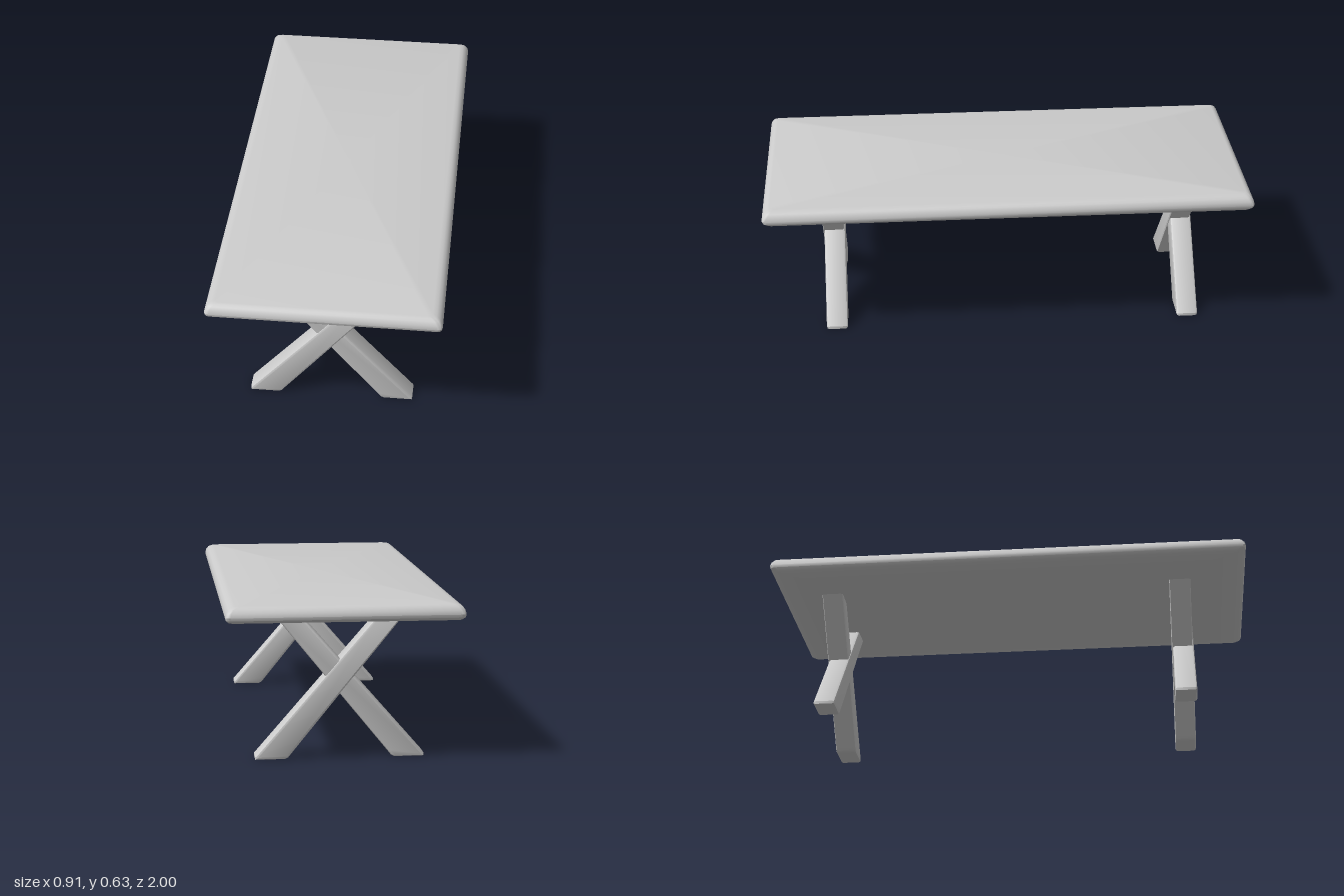
import * as THREE from 'three';
import { toCreasedNormals } from 'three/addons/utils/BufferGeometryUtils.js';

const material = new THREE.MeshStandardMaterial({ color: 0xcccccc });

// Rectangle outline with rounded corners, as points [x, z]
function roundedRect(halfX, halfZ, radius, steps = 4) {
  const points = [];
  [[1, 1], [-1, 1], [-1, -1], [1, -1]].forEach(([sx, sz], corner) => {
    for (let k = 0; k <= steps; k++) {
      const a = (corner + k / steps) * Math.PI / 2;
      points.push([
        sx * (halfX - radius) + radius * Math.cos(a),
        sz * (halfZ - radius) + radius * Math.sin(a),
      ]);
    }
  });
  return points;
}

// Slab with a soft edge: stacked outlines, shallow underneath and rounder on top
function tabletopGeometry() {
  // inset in x, inset in z, height
  const profile = [
    [0.07, 0.15, 0.555], [0.035, 0.07, 0.56], [0.012, 0.02, 0.569],
    [0.002, 0.004, 0.58], [0, 0, 0.592], [0.004, 0.004, 0.608],
    [0.013, 0.013, 0.621], [0.025, 0.022, 0.628], [0.04, 0.032, 0.631],
  ];
  const rings = profile.map(([ix, iz, y]) =>
    roundedRect(0.457 - ix, 1 - iz, 0.018).map(([x, z]) => [x, y, z]));
  const n = rings[0].length;
  const positions = rings.flat(2);
  const index = [];
  for (let i = 0; i < rings.length - 1; i++) {
    for (let j = 0; j < n; j++) {
      const a = i * n + j, b = i * n + (j + 1) % n;
      index.push(a, a + n, b, b, a + n, b + n);
    }
  }
  // Flat underside and top
  const bottom = positions.length / 3, top = bottom + 1;
  positions.push(0, profile[0][2], 0, 0, profile[profile.length - 1][2], 0);
  const last = (rings.length - 1) * n;
  for (let j = 0; j < n; j++) {
    const k = (j + 1) % n;
    index.push(bottom, j, k, top, last + k, last + j);
  }
  const geometry = new THREE.BufferGeometry();
  geometry.setAttribute('position', new THREE.Float32BufferAttribute(positions, 3));
  geometry.setIndex(index);
  return toCreasedNormals(geometry, 0.6);
}

// Slanted, slightly tapered beam with bevelled edges; side -1 or 1 is where its foot stands
function beamGeometry(side) {
  const outline = [
    [0.332, 0], [0.215, 0], [0.203, 0.006], [0.192, 0.02],
    [-0.248, 0.562], [-0.146, 0.562], [0.332, 0.012],
  ];
  const shape = new THREE.Shape(outline.map(([x, y]) => new THREE.Vector2(side * x, y)));
  const bevel = 0.01, width = 0.09;
  const geometry = new THREE.ExtrudeGeometry(shape, {
    depth: width - 2 * bevel, bevelSize: bevel, bevelThickness: bevel,
    bevelOffset: -bevel, bevelSegments: 2,
  });
  geometry.translate(0, 0, bevel - width / 2);
  return toCreasedNormals(geometry, 0.5);
}

function part(name, geometry) {
  const mesh = new THREE.Mesh(geometry, material);
  mesh.name = name;
  return mesh;
}

// Two beams crossing, one standing slightly proud of the other
function crossedLegs(name) {
  const group = new THREE.Group();
  group.name = name;
  const outer = part('outerBeam', beamGeometry(-1));
  const inner = part('innerBeam', beamGeometry(1));
  outer.position.z = 0.0025;
  inner.position.z = -0.0025;
  group.add(outer, inner);
  return group;
}

export function createModel() {
  const model = new THREE.Group();
  model.name = 'table';
  model.add(part('tabletop', tabletopGeometry()));

  const frontLegs = crossedLegs('frontLegs');
  frontLegs.position.set(0.005, 0, 0.727);
  const backLegs = crossedLegs('backLegs');
  backLegs.position.set(0.005, 0, -0.767);
  backLegs.rotation.y = Math.PI;
  model.add(frontLegs, backLegs);
  return model;
}
